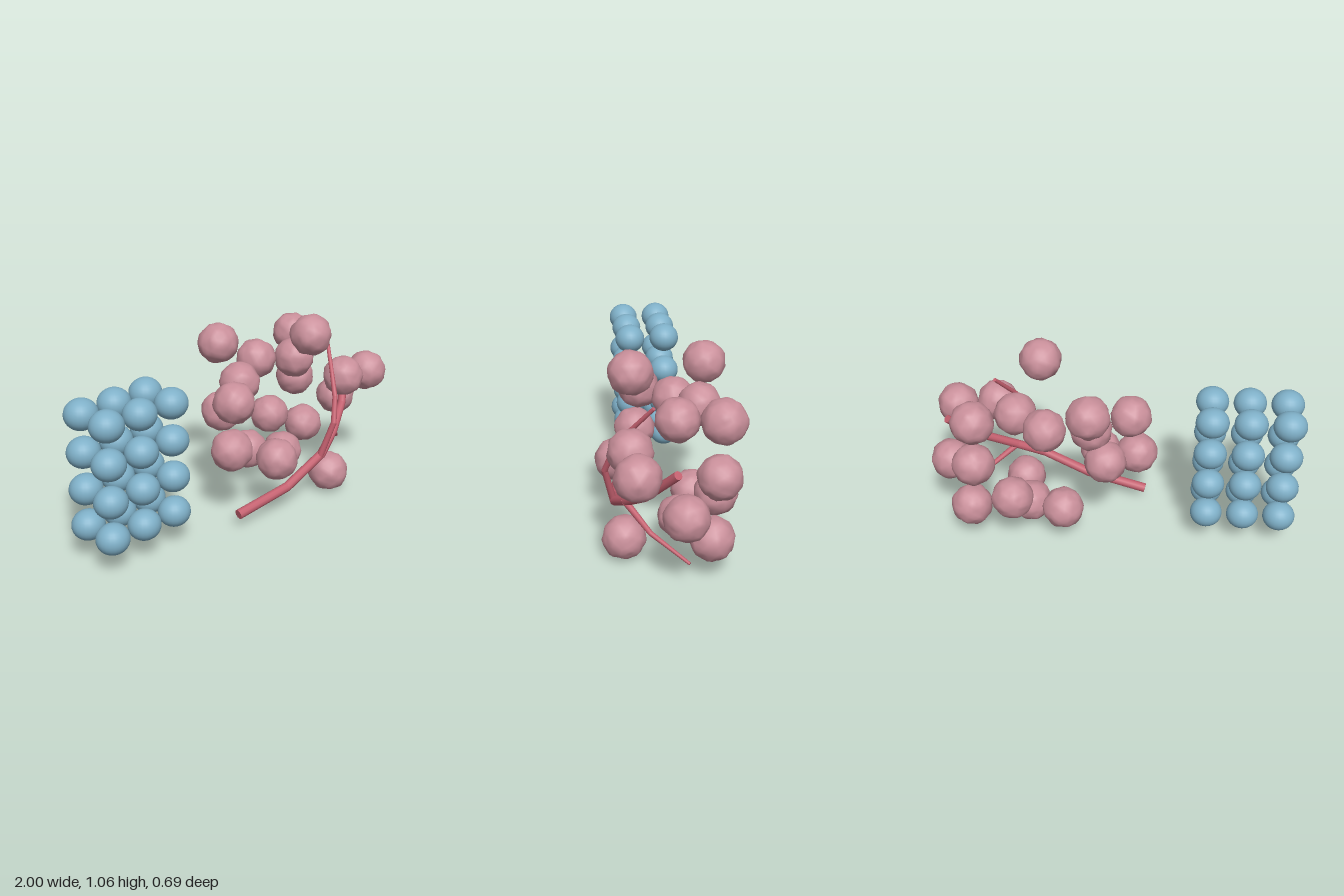
import * as THREE from 'three';
import { mergeVertices } from 'three/addons/utils/BufferGeometryUtils.js';

const mat = (name, color) => {
  const m = new THREE.MeshStandardMaterial({ color });
  m.name = name;
  return m;
};

// Lumpy ball: fine icosphere whose radius is rippled by a rule
function lumpyBall(radius) {
  let g = new THREE.IcosahedronGeometry(1, 4);
  g.deleteAttribute('uv');
  g.deleteAttribute('normal');
  g = mergeVertices(g, 1e-4);
  const p = g.attributes.position, v = new THREE.Vector3();
  for (let i = 0; i < p.count; i++) {
    v.fromBufferAttribute(p, i);
    const bump = Math.sin(8 * v.x + 1) * Math.sin(8 * v.y + 2) + Math.sin(8 * v.y) * Math.sin(8 * v.z + 1)
      + Math.sin(8 * v.z + 2) * Math.sin(8 * v.x);
    v.multiplyScalar(radius * (1 + 0.028 * bump));
    p.setXYZ(i, v.x, v.y, v.z);
  }
  g.computeVertexNormals();
  return g;
}

// Tapered stem made of straight pieces with rounded joints
function stem(name, points, r0, r1, material) {
  const group = new THREE.Group();
  group.name = name;
  const pts = points.map(p => new THREE.Vector3(...p));
  const n = pts.length - 1;
  const radius = i => r0 + (r1 - r0) * i / n;
  for (let i = 0; i < n; i++) {
    const dir = pts[i + 1].clone().sub(pts[i]);
    const piece = new THREE.Mesh(
      new THREE.CylinderGeometry(radius(i + 1), radius(i), dir.length(), 10), material);
    piece.name = name + 'Piece';
    piece.position.copy(pts[i]).addScaledVector(dir, 0.5);
    piece.quaternion.setFromUnitVectors(new THREE.Vector3(0, 1, 0), dir.normalize());
    group.add(piece);
    if (i > 0) {
      const joint = new THREE.Mesh(new THREE.SphereGeometry(radius(i) * 0.99, 10, 8), material);
      joint.name = name + 'Joint';
      joint.position.copy(pts[i]);
      group.add(joint);
    }
  }
  return group;
}

export function createModel() {
  const model = new THREE.Group();
  model.name = 'berriesAndBlossoms';
  const blue = mat('soft blue', 0x7fb0c8);
  const pink = mat('dusty pink', 0xc98f9a);
  const red = mat('rose red', 0xc4606f);

  // Block of blue balls, 3 x 4 x 2
  const balls = new THREE.Group();
  balls.name = 'ballGrid';
  const ballGeo = new THREE.SphereGeometry(1, 24, 16);
  ballGeo.scale(0.087, 0.079, 0.083);
  for (let i = 0; i < 3; i++)
    for (let j = 0; j < 4; j++)
      for (let k = 0; k < 2; k++) {
        const ball = new THREE.Mesh(ballGeo, blue);
        ball.name = 'ball';
        ball.position.set(-0.913 + 0.197 * i, 0.196 + 0.199 * j, -0.107 + 0.197 * k);
        balls.add(ball);
      }
  model.add(balls);

  // Cloud of pink blossoms
  const blossoms = new THREE.Group();
  blossoms.name = 'blossoms';
  const blossomGeo = lumpyBall(0.111);
  [
    [0.4, 0.95, 0.18], [0.105, 0.875, -0.232], [-0.09, 0.67, 0.09], [0.11, 0.685, -0.07],
    [0.03, 0.525, -0.13], [-0.125, 0.415, 0.11], [0.09, 0.335, 0.235], [0.26, 0.21, -0.15],
    [0.34, 0.74, -0.17], [0.513, 0.74, -0.035], [0.7, 0.805, -0.225], [0.655, 0.655, 0.21],
    [0.875, 0.63, 0.2], [0.885, 0.412, -0.025], [0.72, 0.525, -0.21], [0.76, 0.217, -0.17],
    [0.52, 0.33, -0.23], [0.45, 0.17, -0.055], [0.527, 0.114, 0.235],
  ].forEach((p, i) => {
    const blossom = new THREE.Mesh(blossomGeo, pink);
    blossom.name = 'blossom';
    blossom.position.set(...p);
    blossom.rotation.set(i * 1.3, i * 2.1, i * 0.7);
    blossoms.add(blossom);
  });
  model.add(blossoms);

  // Main branch and two twigs
  model.add(stem('mainBranch', [
    [-0.17, 0.083, 0.205], [0.16, 0.145, 0.25], [0.42, 0.265, 0.27],
    [0.57, 0.345, 0.225], [0.73, 0.45, 0.15], [0.9, 0.645, 0.02],
  ], 0.027, 0.022, red));
  model.add(stem('upperTwig', [
    [0.4, 0.255, 0.275], [0.455, 0.46, 0.32], [0.505, 0.59, 0.28], [0.55, 0.7, 0.215], [0.637, 0.86, 0.097],
  ], 0.018, 0.01, red));
  model.add(stem('lowerTwig', [
    [0.56, 0.345, 0.235], [0.72, 0.245, 0.125], [0.87, 0.153, -0.045],
  ], 0.018, 0.008, red));
  return model;
}
